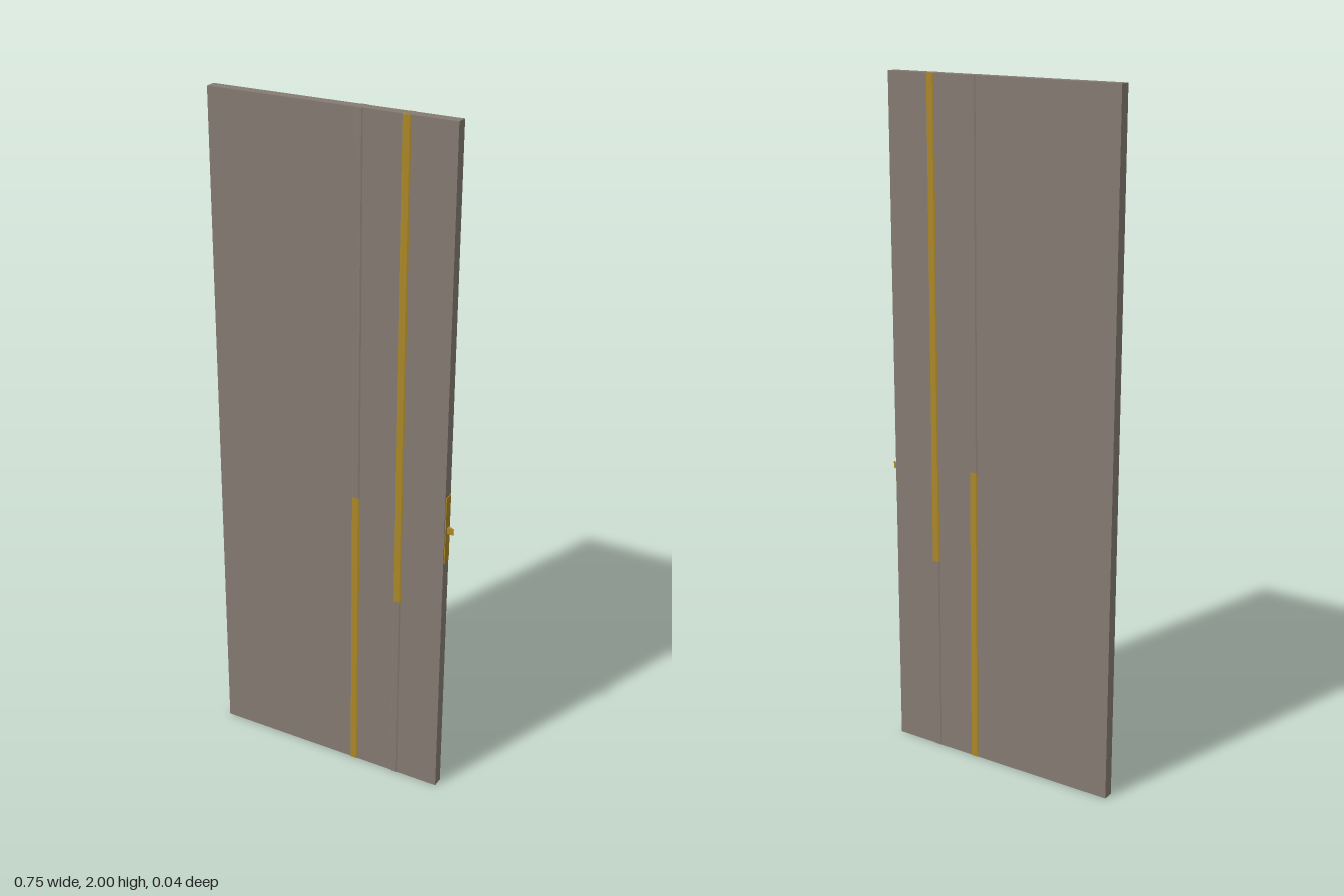
import * as THREE from 'three';

const wood = new THREE.MeshStandardMaterial({ color: 0x857b72 });
const gold = new THREE.MeshStandardMaterial({ color: 0xab8728 });

export function createModel() {
  const door = new THREE.Group();
  door.name = 'door';

  function add(name, geometry, material, x, y, z) {
    const mesh = new THREE.Mesh(geometry, material);
    mesh.name = name;
    mesh.position.set(x, y, z);
    door.add(mesh);
    return mesh;
  }
  const box = (name, material, x0, x1, y0, y1, z0, z1) =>
    add(name, new THREE.BoxGeometry(x1 - x0, y1 - y0, z1 - z0), material,
      (x0 + x1) / 2, (y0 + y1) / 2, (z0 + z1) / 2);

  // Door leaf
  box('doorLeaf', wood, -0.373, 0.352, 0, 2, -0.016, 0.016);

  // Raised strip with chamfered long sides, extruded upwards through the leaf
  function strip(name, material, x, y0, y1) {
    const w = 0.0125, t = 0.0085, f = 0.0158, h = 0.0182;
    const section = new THREE.Shape([
      [-w, -f], [-t, -h], [t, -h], [w, -f], [w, f], [t, h], [-t, h], [-w, f],
    ].map(([a, b]) => new THREE.Vector2(a, b)));
    const geometry = new THREE.ExtrudeGeometry(section, { depth: y1 - y0, bevelEnabled: false });
    geometry.rotateX(-Math.PI / 2);
    add(name, geometry, material, x, y0, 0);
  }

  // Two vertical trims, each part gilded and part plain
  strip('innerTrimGold', gold, 0.076, 0, 0.9);
  strip('innerTrimPlain', wood, 0.076, 0.9, 2);
  strip('outerTrimPlain', wood, 0.212, 0, 0.6);
  strip('outerTrimGold', gold, 0.212, 0.6, 2);

  // Lock face plate on the closing edge
  box('latchPlate', gold, 0.35, 0.3545, 0.765, 0.97, -0.013, 0.013);

  // Sprung latch bolt, slanted towards the back
  const wedge = new THREE.Shape([
    new THREE.Vector2(0.345, -0.004),
    new THREE.Vector2(0.373, -0.004),
    new THREE.Vector2(0.373, -0.001),
    new THREE.Vector2(0.356, 0.008),
    new THREE.Vector2(0.345, 0.008),
  ]);
  const bolt = new THREE.ExtrudeGeometry(wedge, { depth: 0.018, bevelEnabled: false });
  bolt.rotateX(-Math.PI / 2);
  add('latchBolt', bolt, gold, 0, 0.856, 0);

  return door;
}
